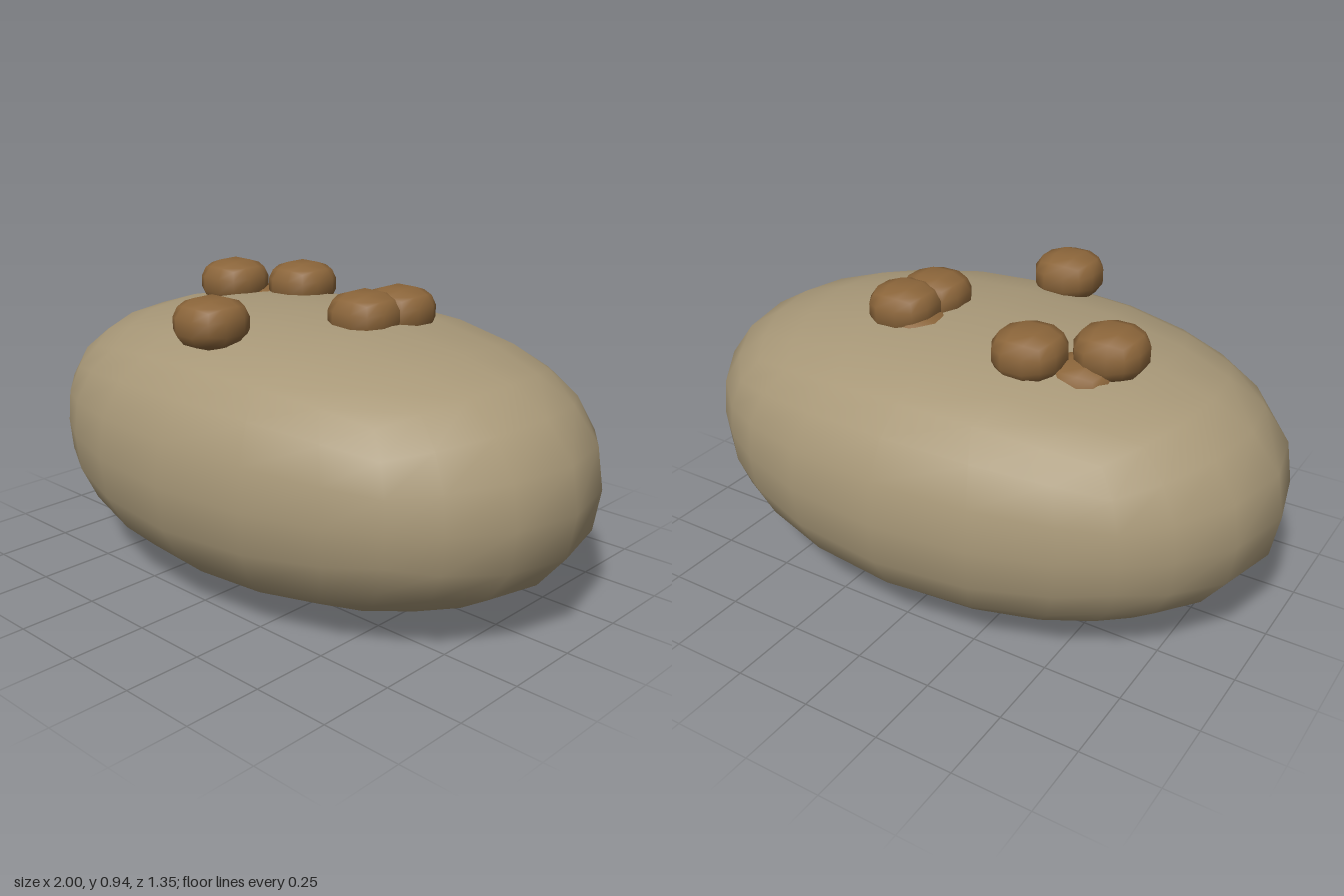
import * as THREE from 'three';
import { mergeVertices } from 'three/addons/utils/BufferGeometryUtils.js';

const POWER = 2.5; // fullness of the vertical profile

// Cube grid blown up into a pebble: round in plan, fuller than an ellipse from the side
function pebbleGeometry(segments, rx, ry, rz) {
  let geo = new THREE.BoxGeometry(2, 2, 2, segments, segments, segments);
  geo.deleteAttribute('normal');
  geo.deleteAttribute('uv');
  geo = mergeVertices(geo, 1e-4);
  const pos = geo.attributes.position;
  const v = new THREE.Vector3();
  for (let i = 0; i < pos.count; i++) {
    v.fromBufferAttribute(pos, i).normalize();
    const flat = Math.hypot(v.x, v.z);
    const k = Math.pow(Math.pow(flat, POWER) + Math.pow(Math.abs(v.y), POWER), -1 / POWER);
    pos.setXYZ(i, v.x * k * rx, v.y * k * ry, v.z * k * rz);
  }
  geo.clearGroups();
  geo.computeVertexNormals();
  return geo;
}

export function createModel() {
  const model = new THREE.Group();
  model.name = 'stoneWithLumps';

  const stone = new THREE.MeshStandardMaterial({ color: 0xa89878 });
  stone.name = 'tanStone';
  const brown = new THREE.MeshStandardMaterial({ color: 0x8b653a });
  brown.name = 'brown';

  const add = (name, geo, mat, x, y, z) => {
    const mesh = new THREE.Mesh(geo, mat);
    mesh.name = name;
    mesh.position.set(x, y, z);
    model.add(mesh);
  };

  // Main body
  add('body', pebbleGeometry(6, 1, 0.428, 0.675), stone, 0, 0.428, 0);

  // Lumps resting on top
  const lump = pebbleGeometry(3, 0.116, 0.079, 0.118);
  const spots = [[-0.26, -0.205], [-0.46, -0.075], [0.24, -0.125], [0.21, 0], [-0.065, 0.385]];
  spots.forEach(([x, z], i) => add(`lump${i + 1}`, lump, brown, x, 0.861, z));

  // Nearly buried lumps that only break the surface
  const buried = pebbleGeometry(3, 0.116, 0.079, 0.118);
  add('buriedLump1', buried, brown, 0.19, 0.785, -0.13);
  add('buriedLump2', buried, brown, -0.4, 0.772, -0.14);

  return model;
}
